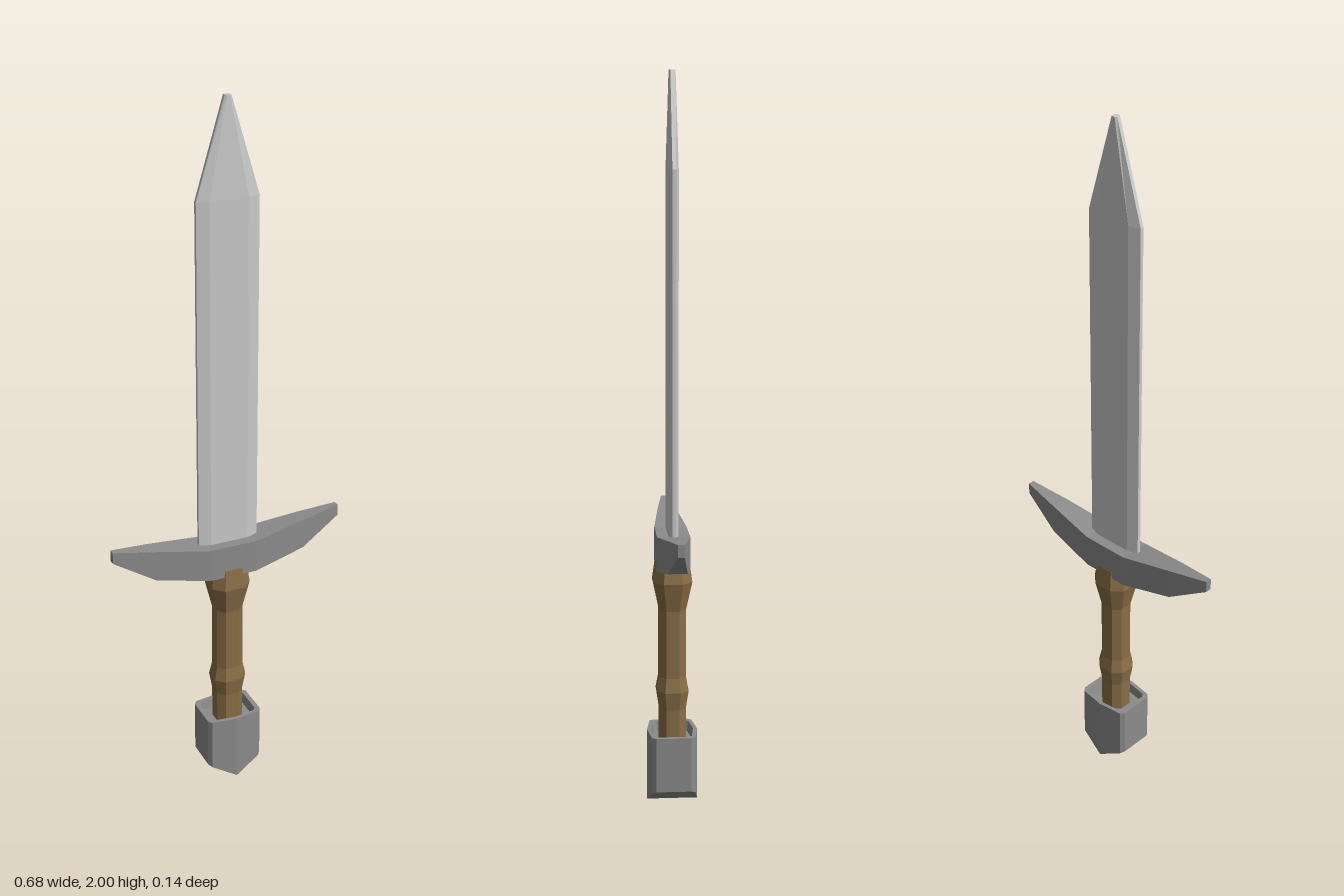
import * as THREE from 'three';

// Skin a list of equal-length rings (counter-clockwise about the travel direction), capping both ends.
function loft(name, rings, color) {
  const pos = [];
  const tri = (a, b, c) => pos.push(...a, ...b, ...c);
  const n = rings[0].length;
  const centre = (ring) => [0, 1, 2].map((k) => ring.reduce((s, p) => s + p[k], 0) / n);
  const first = rings[0];
  const last = rings[rings.length - 1];
  const c0 = centre(first);
  const c1 = centre(last);
  for (let i = 0; i < n; i++) {
    const j = (i + 1) % n;
    for (let r = 0; r < rings.length - 1; r++) {
      const a = rings[r];
      const b = rings[r + 1];
      tri(a[i], a[j], b[j]);
      tri(a[i], b[j], b[i]);
    }
    tri(c0, first[j], first[i]);
    tri(c1, last[i], last[j]);
  }
  const geometry = new THREE.BufferGeometry();
  geometry.setAttribute('position', new THREE.Float32BufferAttribute(pos, 3));
  geometry.computeVertexNormals();
  const mesh = new THREE.Mesh(geometry, new THREE.MeshStandardMaterial({ color, flatShading: true }));
  mesh.name = name;
  return mesh;
}

// Octagon in the xz plane: half sizes w and d, flat half lengths fw (along x) and fd (along z).
const octagon = (y, w, d, fw, fd) => [
  [w, fd], [w, -fd], [fw, -d], [-fw, -d], [-w, -fd], [-w, fd], [-fw, d], [fw, d],
].map(([x, z]) => [x, y, z]);

export function createModel() {
  const model = new THREE.Group();
  const steel = 0xcccccc;
  const iron = 0x8c8c8c;
  const leather = 0x896e46;

  // Blade: bevelled slab narrowing to a blunt tip
  model.add(loft('blade', [
    octagon(0.72, 0.088, 0.014, 0.055, 0.005),
    octagon(1.74, 0.088, 0.014, 0.055, 0.005),
    octagon(2.0, 0.009, 0.009, 0.004, 0.005),
  ], steel));

  // Crossguard: [x, bottom, top, half depth], sweeping upward to thin ends
  const half = [[0.07, 0.67, 0.765, 0.045], [0.225, 0.7, 0.788, 0.026], [0.342, 0.77, 0.803, 0.009]];
  const stations = [...half.map(([x, ...rest]) => [-x, ...rest]).reverse(), ...half];
  model.add(loft('crossguard', stations.map(([x, lo, hi, d]) => [
    [x, hi, d], [x, lo, d], [x, lo, -d], [x, hi, -d],
  ]), iron));

  // Grip: eight-sided handle, [y, half width], with a swell at the top and a ring near the bottom
  const grip = [[0.16, 0.04], [0.27, 0.04], [0.32, 0.048], [0.36, 0.04], [0.55, 0.04], [0.63, 0.058], [0.69, 0.049]];
  model.add(loft('grip', grip.map(([y, r]) => octagon(y, r, r * 0.93, r * 0.5, r * 0.45)), leather));

  // Pommel: faceted block with a wedge underneath and a recessed top
  const outline = [
    [0.083, 0.048], [0.083, -0.048], [0.074, -0.06], [0, -0.07], [-0.074, -0.06],
    [-0.083, -0.048], [-0.083, 0.048], [-0.074, 0.06], [0, 0.07], [0.074, 0.06],
  ];
  const level = (y, s = 1) => outline.map(([x, z]) => [x * s, y, z * s]);
  model.add(loft('pommel', [
    outline.map(([, z]) => [0, 0, z]),
    outline.map(([x, z]) => [x, Math.abs(x) * 0.6, z]),
    level(0.203),
    level(0.203, 0.84),
    level(0.175, 0.78),
  ], iron));

  return model;
}
